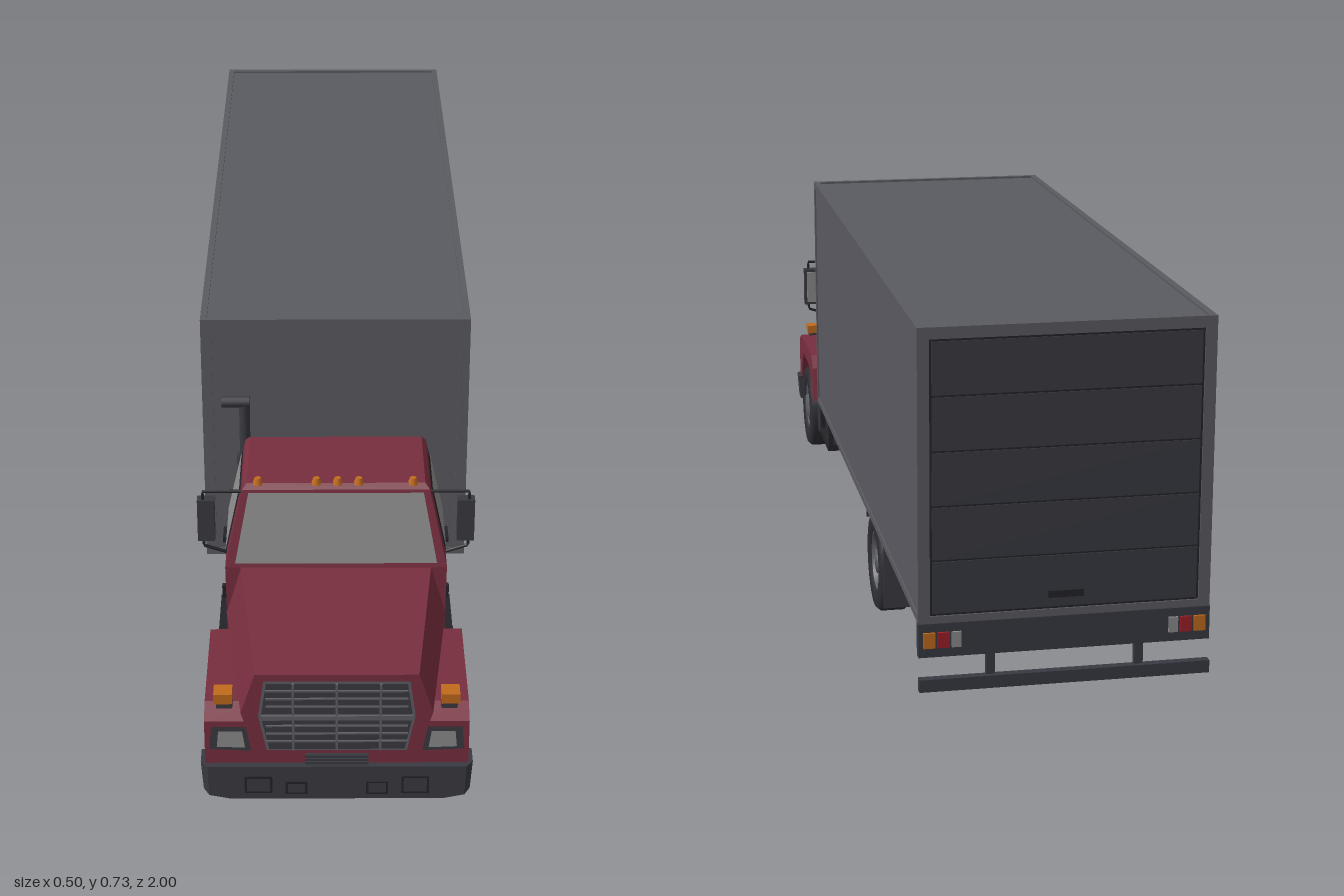
import * as THREE from 'three';

const mat = (name, color, side = THREE.FrontSide) => {
  const m = new THREE.MeshStandardMaterial({ color, side });
  m.name = name;
  return m;
};

export function createModel() {
  const truck = new THREE.Group();
  truck.name = 'boxTruck';
  const red = mat('cabRed', 0x782e3e), cargo = mat('cargoGrey', 0x5a5a61), dark = mat('darkGrey', 0x393a41);
  const black = mat('nearBlack', 0x242429), tyre = mat('tyreRubber', 0x2f2f34), steel = mat('steelGrey', 0x5e5f64);
  const glass = mat('glassGrey', 0x8c8c8c), amber = mat('amber', 0xc06a1c), tail = mat('tailRed', 0x9a2028);

  const add = (name, geo, m) => {
    const mesh = new THREE.Mesh(geo, m);
    mesh.name = name;
    truck.add(mesh);
    return mesh;
  };
  // box from its minimum and maximum corners
  const box = (name, m, x0, x1, y0, y1, z0, z1) => add(name,
    new THREE.BoxGeometry(Math.abs(x1 - x0), y1 - y0, z1 - z0).translate((x0 + x1) / 2, (y0 + y1) / 2, (z0 + z1) / 2), m);
  const both = (fn) => [1, -1].forEach(fn);

  // faceted solid through rings of points, capped at both ends
  const loft = (name, m, rings) => {
    const n = rings[0].length, tris = [];
    for (let r = 0; r < rings.length - 1; r++) for (let i = 0; i < n; i++) {
      const j = (i + 1) % n, a = rings[r], b = rings[r + 1];
      tris.push([a[i], a[j], b[j]], [a[i], b[j], b[i]]);
    }
    const first = rings[0], last = rings[rings.length - 1];
    for (let i = 1; i < n - 1; i++) tris.push([first[0], first[i + 1], first[i]], [last[0], last[i], last[i + 1]]);
    const v = (p) => new THREE.Vector3(...p);
    const volume = tris.reduce((s, t) => s + v(t[0]).dot(v(t[1]).cross(v(t[2]))), 0);
    if (volume < 0) tris.forEach((t) => t.reverse());
    const g = new THREE.BufferGeometry();
    g.setAttribute('position', new THREE.Float32BufferAttribute(tris.flat(2), 3));
    g.computeVertexNormals();
    return add(name, g, m);
  };
  // thin polygon lifted off a surface, facing the given outward direction
  const plate = (name, m, pts, out, lift = 0.003) => {
    const p = pts.map((q) => new THREE.Vector3(...q));
    const normal = p[1].clone().sub(p[0]).cross(p[2].clone().sub(p[0])).normalize();
    if (normal.dot(new THREE.Vector3(...out)) < 0) { p.reverse(); normal.negate(); }
    const lifted = p.map((q) => q.clone().addScaledVector(normal, lift).toArray()), tris = [];
    for (let i = 1; i < p.length - 1; i++) tris.push(lifted[0], lifted[i], lifted[i + 1]);
    const g = new THREE.BufferGeometry();
    g.setAttribute('position', new THREE.Float32BufferAttribute(tris.flat(), 3));
    g.computeVertexNormals();
    return add(name, g, m);
  };
  // side profile of [z, y] points, extruded across x
  const sideExtrude = (name, m, pts, xa, xb) => {
    const g = new THREE.ExtrudeGeometry(new THREE.Shape(pts.map((p) => new THREE.Vector2(...p))),
      { depth: Math.abs(xb - xa), bevelEnabled: false });
    return add(name, g.rotateY(-Math.PI / 2).translate(Math.max(xa, xb), 0, 0), m);
  };
  const axle = (name, m, r, x0, x1, y, z, seg = 20) => add(name,
    new THREE.CylinderGeometry(r, r, Math.abs(x1 - x0), seg).rotateZ(Math.PI / 2).translate((x0 + x1) / 2, y, z), m);
  // [x, y] half outline mirrored into a full ring at depth z
  const ring = (half, z) => [...half.map(([x, y]) => [x, y, z]), ...half.slice().reverse().map(([x, y]) => [-x, y, z])];

  // Cargo box with raised edge trims
  box('cargoBox', cargo, -0.247, 0.247, 0.225, 0.722, -0.985, 0.416);
  both((s) => {
    box('topSideTrim', cargo, s * 0.238, s * 0.25, 0.712, 0.726, -0.99, 0.42);
    box('bottomSideTrim', cargo, s * 0.238, s * 0.25, 0.222, 0.234, -0.99, 0.42);
    for (const z of [-0.99, 0.408]) box('cornerPost', cargo, s * 0.23, s * 0.25, 0.222, 0.726, z, z + 0.012);
  });
  for (const z of [-0.99, 0.408]) {
    box('topEndTrim', cargo, -0.25, 0.25, 0.706, 0.726, z, z + 0.012);
    box('bottomEndTrim', cargo, -0.25, 0.25, 0.222, 0.234, z, z + 0.012);
  }
  // Roll-up rear door
  box('doorSeams', black, -0.23, 0.23, 0.234, 0.706, -0.987, -0.98);
  for (let i = 0; i < 5; i++) box('doorPanel', dark, -0.226, 0.226, 0.238 + i * 0.0935, 0.328 + i * 0.0935, -0.989, -0.98);
  box('doorHandle', black, -0.03, 0.03, 0.255, 0.267, -0.994, -0.985);

  // Rear sill, lights and underrun bar
  box('rearSill', dark, -0.25, 0.25, 0.163, 0.222, -0.993, -0.975);
  both((s) => {
    [[amber, 0.222], [tail, 0.198], [glass, 0.178]].forEach(([m, x], i) =>
      box('rearLight', m, s * x, s * (x + (i === 2 ? 0.016 : 0.02)), 0.18, 0.207, -0.997, -0.99));
    box('underrunPost', dark, s * 0.12, s * 0.135, 0.115, 0.175, -0.992, -0.98);
  });
  box('underrunBar', dark, -0.25, 0.25, 0.104, 0.126, -1, -0.985);

  // Chassis
  both((s) => {
    sideExtrude('frameRail', dark, [[0.95, 0.1], [0.95, 0.16], [0.7, 0.22], [-0.98, 0.224], [-0.98, 0.168],
      [-0.42, 0.168], [-0.25, 0.14], [0.6, 0.14], [0.75, 0.1]], s * 0.062, s * 0.086);
    box('floorStringer', dark, s * 0.15, s * 0.165, 0.2, 0.226, -0.97, 0.4);
  });
  for (const z of [0.45, 0.08, -0.12, -0.5, -0.68, -0.86]) box('crossMember', dark, -0.085, 0.085, 0.165, 0.222, z, z + 0.025);
  for (const z of [0.275, -0.18, -0.62, -0.82]) box('floorBeam', dark, -0.235, 0.235, 0.195, 0.226, z, z + 0.025);
  box('engineBlock', dark, -0.06, 0.06, 0.1, 0.2, 0.58, 0.92);
  box('oilPan', dark, -0.043, 0.043, 0.064, 0.12, 0.7, 0.86);
  axle('driveShaft', dark, 0.014, -0.45, 0.45, 0, 0, 10).rotation.set(0, Math.PI / 2, 0);
  truck.children[truck.children.length - 1].position.set(0, 0.125, 0.13);
  box('frontAxle', dark, -0.17, 0.17, 0.075, 0.1, 0.822, 0.852);
  axle('rearAxle', dark, 0.024, -0.2, 0.2, 0.098, -0.323, 14);
  add('differential', new THREE.SphereGeometry(0.048, 16, 10).translate(0, 0.1, -0.323), dark);

  // Wheels: lathed tyres, rims and bolts
  const lathe = (name, m, pts, s, x, z) => {
    const mesh = add(name, new THREE.LatheGeometry(pts.map((p) => new THREE.Vector2(...p)), 28), m);
    mesh.rotation.z = -s * Math.PI / 2;
    mesh.position.set(s * x, 0.098, z);
  };
  const wheel = (s, x, z, dished) => {
    lathe('tyre', tyre, [[0.055, -0.031], [0.09, -0.031], [0.098, -0.022], [0.098, 0.022], [0.09, 0.031],
      [0.062, 0.031], [0.058, 0.022], [0.055, -0.031]], s, x, z);
    lathe('rim', steel, dished
      ? [[0, -0.028], [0.058, -0.028], [0.06, 0.027], [0.053, 0.027], [0.045, 0.002], [0.026, 0], [0.024, 0.026], [0, 0.028]]
      : [[0, -0.028], [0.058, -0.028], [0.06, 0.026], [0.052, 0.026], [0.046, 0.018], [0.03, 0.022], [0.027, 0.032], [0, 0.034]], s, x, z);
    for (let i = 0; i < 10; i++) {
      const a = i * Math.PI / 5, bx = x + (dished ? 0.004 : 0.022);
      axle('wheelBolt', dark, 0.004, s * (bx - 0.008), s * (bx + 0.003), 0.098 + 0.038 * Math.sin(a), z + 0.038 * Math.cos(a), 6);
    }
  };
  both((s) => {
    wheel(s, 0.198, 0.837, false);
    wheel(s, 0.198, -0.323, true);
    wheel(s, 0.135, -0.323, true);
    // Rear mudguard and flap
    sideExtrude('rearMudguard', dark, [[-0.225, 0.165], [-0.265, 0.218], [-0.42, 0.218], [-0.45, 0.19], [-0.45, 0.182],
      [-0.415, 0.21], [-0.27, 0.21], [-0.232, 0.16]], s * 0.1, s * 0.23);
    box('mudFlap', dark, s * 0.105, s * 0.23, 0.05, 0.225, -0.46, -0.453);
  });

  // Cab shell, tapering above the belt line
  const cabRing = (y, x, z0, z1) => [[x, y, z0], [x, y, z1], [-x, y, z1], [-x, y, z0]];
  loft('cabShell', red, [cabRing(0.19, 0.198, 0.478, 0.7), cabRing(0.365, 0.2, 0.478, 0.7),
    cabRing(0.507, 0.168, 0.48, 0.667), cabRing(0.516, 0.16, 0.485, 0.658)]);
  plate('windshield', glass, [[-0.182, 0.373, 0.698], [0.182, 0.373, 0.698], [0.157, 0.502, 0.668], [-0.157, 0.502, 0.668]], [0, 0, 1]);
  const sideX = (y) => (y < 0.365 ? 0.2 : 0.2 - 0.032 * (y - 0.365) / 0.142);
  both((s) => {
    const onSide = (pts) => pts.map(([z, y]) => [s * sideX(y), y, z]);
    plate('windowSeal', black, onSide([[0.505, 0.374], [0.672, 0.374], [0.648, 0.502], [0.505, 0.502]]), [s, 0, 0], 0.002);
    plate('sideWindow', glass, onSide([[0.511, 0.38], [0.664, 0.38], [0.642, 0.497], [0.511, 0.497]]), [s, 0, 0], 0.004);
    for (const z of [0.495, 0.686]) plate('doorSeam', black, onSide([[z, 0.2], [z + 0.003, 0.2], [z + 0.003, 0.365], [z, 0.365]]), [s, 0, 0], 0.002);
    box('doorHandle', black, s * 0.197, s * 0.21, 0.336, 0.346, 0.525, 0.565);
    // Mirror on its tube bracket
    const bend = [[0.17, 0.497], [0.24, 0.497], [0.24, 0.385], [0.196, 0.37]].map(([x, y]) => new THREE.Vector3(s * x, y, 0.655));
    const path = new THREE.CurvePath();
    for (let i = 0; i < 3; i++) path.add(new THREE.LineCurve3(bend[i], bend[i + 1]));
    add('mirrorBracket', new THREE.TubeGeometry(path, 36, 0.003, 6), black);
    box('mirrorHousing', dark, s * 0.219, s * 0.25, 0.398, 0.481, 0.642, 0.662);
    box('mirrorGlass', glass, s * 0.224, s * 0.245, 0.404, 0.475, 0.639, 0.643);
    // Fuel tank and cab steps
    box('fuelTank', dark, s * 0.088, s * 0.175, 0.105, 0.19, 0.49, 0.65);
    for (const y of [0.084, 0.155]) box('stepTread', black, s * 0.165, s * 0.22, y, y + 0.014, 0.483, 0.645);
    for (const z of [0.483, 0.633]) for (const x of [0.168, 0.208]) box('stepPost', black, s * x, s * (x + 0.01), 0.084, 0.195, z, z + 0.012);
  });
  for (const x of [-0.14, -0.035, 0.003, 0.041, 0.138])
    add('roofMarker', new THREE.CylinderGeometry(0.006, 0.01, 0.012, 8).translate(x, 0.519, 0.655), amber);

  // Hood and front fenders
  loft('hood', red, [ring([[0.135, 0.145], [0.165, 0.25], [0.14, 0.328]], 0.985), ring([[0.15, 0.15], [0.2, 0.268], [0.172, 0.365]], 0.695)]);
  both((s) => {
    sideExtrude('frontFender', red, [[0.985, 0.14], [0.985, 0.232], [0.95, 0.25], [0.73, 0.252], [0.705, 0.225], [0.685, 0.15],
      [0.722, 0.15], [0.75, 0.19], [0.775, 0.214], [0.9, 0.214], [0.925, 0.19], [0.945, 0.14]], s * 0.135, s * 0.228);
    box('wheelWell', black, s * 0.1, s * 0.14, 0.12, 0.24, 0.7, 0.96);
    box('frontSplashGuard', dark, s * 0.16, s * 0.215, 0.07, 0.16, 0.69, 0.722);
    plate('headlightBezel', dark, [[s * 0.148, 0.172, 0.985], [s * 0.22, 0.176, 0.985], [s * 0.216, 0.222, 0.985], [s * 0.156, 0.222, 0.985]], [0, 0, 1], 0.002);
    plate('headlight', glass, [[s * 0.158, 0.18, 0.985], [s * 0.207, 0.182, 0.985], [s * 0.204, 0.214, 0.985], [s * 0.163, 0.214, 0.985]], [0, 0, 1], 0.004);
    box('signalBase', dark, s * 0.18, s * 0.208, 0.245, 0.258, 0.94, 0.965);
    box('turnSignal', amber, s * 0.18, s * 0.212, 0.256, 0.275, 0.937, 0.968);
  });

  // Grille with two banks of bars
  const hex = (k, j) => [[-0.121 * k, 0.173 + j], [0.121 * k, 0.173 + j], [0.135 * k, 0.245], [0.125 * k, 0.316 - j], [-0.125 * k, 0.316 - j], [-0.135 * k, 0.245]]
    .map(([x, y]) => [x, y, 0.985]);
  plate('grilleFrame', steel, hex(1, 0), [0, 0, 1], 0.002);
  plate('grilleOpening', dark, hex(0.965, 0.004), [0, 0, 1], 0.004);
  box('grilleCentreBar', steel, -0.13, 0.13, 0.24, 0.249, 0.985, 0.994);
  for (const y of [0.193, 0.209, 0.225, 0.265, 0.281, 0.297]) box('grilleBar', steel, -0.122, 0.122, y, y + 0.003, 0.985, 0.992);
  for (const x of [-0.075, 0, 0.075]) box('grilleUpright', steel, x - 0.002, x + 0.002, 0.176, 0.313, 0.985, 0.993);
  for (let i = 0; i < 3; i++) box('lowerVent', dark, -0.055, 0.055, 0.146 + i * 0.007, 0.151 + i * 0.007, 0.98, 0.992);

  // Front bumper with recessed openings
  loft('frontBumper', dark, [ring([[0.185, 0.077], [0.222, 0.085], [0.224, 0.145]], 0.997),
    ring([[0.19, 0.077], [0.232, 0.088], [0.236, 0.145]], 0.982), ring([[0.19, 0.077], [0.232, 0.088], [0.236, 0.145]], 0.945)]);
  both((s) => {
    [[0.136, 0.024, 0.09, 0.125], [0.07, 0.019, 0.088, 0.114]].forEach(([x, w, y0, y1]) => {
      box('bumperOpeningRim', black, s * x - w, s * x + w, y0, y1, 0.99, 0.999);
      box('bumperOpening', dark, s * x - w + 0.004, s * x + w - 0.004, y0 + 0.004, y1 - 0.004, 0.99, 1);
    });
    box('towHook', dark, s * 0.065, s * 0.09, 0.067, 0.08, 0.93, 0.96);
  });

  // Exhaust stack with sideways outlet
  add('muffler', new THREE.CylinderGeometry(0.014, 0.014, 0.26, 14).translate(-0.172, 0.33, 0.447), dark);
  add('exhaustPipe', new THREE.CylinderGeometry(0.01, 0.01, 0.38, 12).translate(-0.17, 0.38, 0.447), dark);
  axle('exhaustOutlet', dark, 0.011, -0.212, -0.16, 0.57, 0.447, 12);
  box('exhaustBracket', dark, -0.18, -0.08, 0.19, 0.21, 0.435, 0.46);
  return truck;
}
